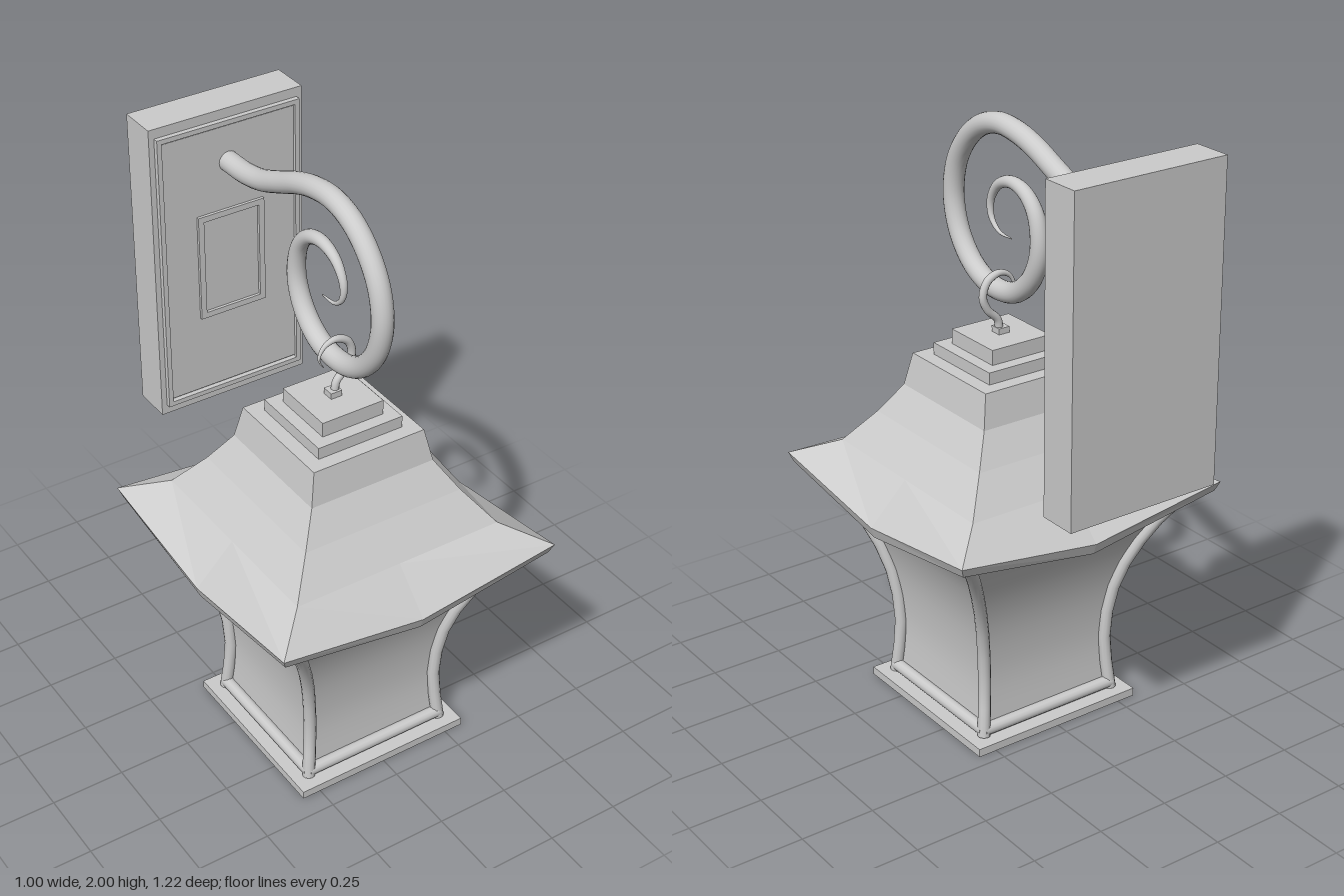
import * as THREE from 'three';
import { mergeVertices } from 'three/addons/utils/BufferGeometryUtils.js';

const smooth = new THREE.MeshStandardMaterial({ color: 0xcccccc, side: THREE.DoubleSide });
const flat = new THREE.MeshStandardMaterial({ color: 0xcccccc, flatShading: true });
const LANTERN_Z = 0.11;

function add(parent, name, geometry, material, x = 0, y = 0, z = 0) {
  const mesh = new THREE.Mesh(geometry, material);
  mesh.name = name;
  mesh.position.set(x, y, z);
  parent.add(mesh);
  return mesh;
}

function box(parent, name, w, y0, y1, d, z = 0) {
  return add(parent, name, new THREE.BoxGeometry(w, y1 - y0, d), flat, 0, (y0 + y1) / 2, z);
}

// One side of a four-sided shape; profile rows are [half width, corner y, middle y], top to bottom
function sideFace(profile, isSmooth) {
  const pos = [];
  for (let i = 0; i < profile.length - 1; i++) {
    const row = ([h, yc, ym = yc]) => [[-h, yc, h], [0, ym, h], [h, yc, h]];
    const a = row(profile[i]), b = row(profile[i + 1]);
    for (let k = 0; k < 2; k++) {
      pos.push(...a[k], ...b[k], ...b[k + 1], ...a[k], ...b[k + 1], ...a[k + 1]);
    }
  }
  let g = new THREE.BufferGeometry();
  g.setAttribute('position', new THREE.Float32BufferAttribute(pos, 3));
  if (isSmooth) g = mergeVertices(g);
  g.computeVertexNormals();
  return g;
}

// Round bar along a curve whose thickness follows radiusAt(t)
function taperedTube(points, segments, radiusAt, sides = 16) {
  const curve = new THREE.CatmullRomCurve3(points);
  const g = new THREE.TubeGeometry(curve, segments, 1, sides);
  const p = g.attributes.position, v = new THREE.Vector3();
  for (let i = 0; i <= segments; i++) {
    const c = curve.getPointAt(i / segments), r = radiusAt(i / segments);
    for (let j = 0; j <= sides; j++) {
      const n = i * (sides + 1) + j;
      v.fromBufferAttribute(p, n).sub(c).multiplyScalar(r).add(c);
      p.setXYZ(n, v.x, v.y, v.z);
    }
  }
  return g;
}

// Flat rectangular frame facing +z
function frame(w, h, border, depth) {
  const rect = (T, a, b) => new T([[-a, -b], [a, -b], [a, b], [-a, b]].map(([x, y]) => new THREE.Vector2(x, y)));
  const shape = rect(THREE.Shape, w / 2, h / 2);
  shape.holes.push(rect(THREE.Path, w / 2 - border, h / 2 - border));
  return new THREE.ExtrudeGeometry(shape, { depth, bevelEnabled: false });
}

export function createModel() {
  const model = new THREE.Group();
  model.name = 'wallLantern';

  // Wall plate with raised borders
  const plate = new THREE.Group();
  plate.name = 'wallPlate';
  model.add(plate);
  box(plate, 'plateBoard', 0.543, 0.965, 2, 0.131, -0.5475);
  box(plate, 'platePanel', 0.48, 1.02, 1.945, 0.02, -0.485);
  add(plate, 'plateBorder', frame(0.506, 0.97, 0.016, 0.022), flat, 0, 1.483, -0.487);
  add(plate, 'innerBorder', frame(0.24, 0.37, 0.02, 0.015), flat, 0, 1.475, -0.48);

  // Scrolled arm
  const scroll = [
    [-0.475, 1.822], [-0.38, 1.826], [-0.285, 1.845], [-0.18, 1.887], [-0.07, 1.935], [0.02, 1.96],
    [0.11, 1.966], [0.2, 1.94], [0.28, 1.88], [0.34, 1.79], [0.361, 1.68], [0.335, 1.57],
    [0.27, 1.485], [0.19, 1.44], [0.11, 1.43], [0.03, 1.447], [-0.04, 1.5], [-0.083, 1.575],
    [-0.092, 1.65], [-0.07, 1.73], [-0.02, 1.78], [0.05, 1.796], [0.12, 1.77], [0.16, 1.71],
    [0.155, 1.655], [0.115, 1.62], [0.05, 1.615],
  ].map(([z, y]) => new THREE.Vector3(0, y, z));
  const armRadius = t => (t < 0.65 ? 0.034 : 0.034 - 0.032 * ((t - 0.65) / 0.35) ** 1.6);
  add(model, 'scrollArm', taperedTube(scroll, 160, armRadius, 20), smooth);

  const lantern = new THREE.Group();
  lantern.name = 'lantern';
  lantern.position.z = LANTERN_Z;
  model.add(lantern);

  // Hanging hook
  const hook = [
    [0.005, 1.29], [0.012, 1.335], [0.05, 1.375], [0.067, 1.42], [0.05, 1.468],
    [0.005, 1.488], [-0.035, 1.472], [-0.052, 1.435], [-0.035, 1.4],
  ].map(([x, y]) => new THREE.Vector3(x, y, 0));
  const hookRadius = t => (t < 0.6 ? 0.013 : 0.013 - 0.012 * (t - 0.6) / 0.4);
  add(lantern, 'hook', taperedTube(hook, 48, hookRadius, 12), smooth);

  // Stepped cap
  box(lantern, 'hookSeat', 0.04, 1.29, 1.31, 0.04);
  box(lantern, 'capUpper', 0.22, 1.24, 1.29, 0.22);
  box(lantern, 'capLower', 0.304, 1.2, 1.24, 0.304);

  // Flared roof with eaves dipping at the middle of each side, and its underside
  const roof = [
    [0, 1.2], [0.2, 1.2], [0.222, 1.09], [0.285, 0.99], [0.37, 0.88],
    [0.5, 0.82, 0.75], [0.487, 0.787, 0.712], [0.475, 0.8, 0.745], [0.36, 0.855], [0, 0.855],
  ];
  // Curved panels between the posts
  const panel = new THREE.SplineCurve([
    [0.445, 0.79], [0.405, 0.745], [0.318, 0.6], [0.258, 0.42], [0.236, 0.22], [0.248, 0.03],
  ].map(p => new THREE.Vector2(...p))).getPoints(20).map(p => [p.x, p.y]);
  // Corner posts
  const post = [[0.258, 0.03], [0.243, 0.22], [0.264, 0.42], [0.325, 0.6], [0.412, 0.755], [0.46, 0.805]]
    .map(([h, y]) => new THREE.Vector3(h, y, h));
  const postCurve = new THREE.CatmullRomCurve3(post);

  for (let i = 0; i < 4; i++) {
    const side = new THREE.Group();
    side.name = 'lanternSide';
    side.rotation.y = i * Math.PI / 2;
    lantern.add(side);
    add(side, 'roofSide', sideFace(roof, false), flat);
    add(side, 'panel', sideFace(panel, true), smooth);
    add(side, 'cornerPost', new THREE.TubeGeometry(postCurve, 9, 0.021, 12), smooth);
    const rail = add(side, 'bottomRail', new THREE.CylinderGeometry(0.021, 0.021, 0.52, 12), smooth, 0, 0.05, 0.257);
    rail.rotation.z = Math.PI / 2;
  }

  // Base plate
  box(lantern, 'base', 0.63, 0, 0.028, 0.63);
  return model;
}
